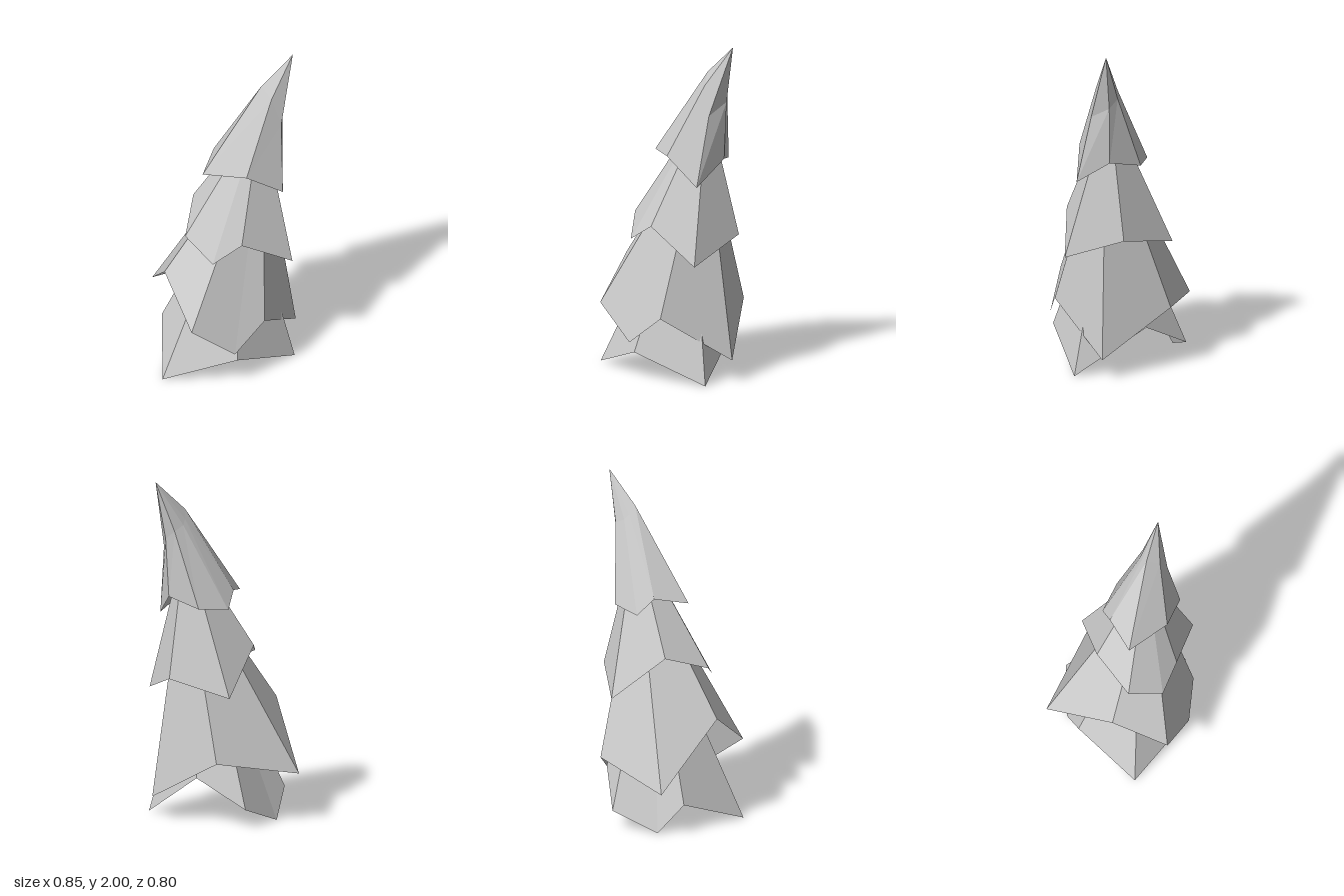
import * as THREE from 'three';

// Each tier: rings of seven corners listed from the right side round by the front, then a tip.
const TIERS = [
  {
    name: 'bottomBranches', tip: [0.1, 1.2, 0.03],
    rings: [[[-0.425, 0, 0.228], [-0.02, 0.165, 0.38], [0.37, 0, 0.2], [0.245, 0.275, -0.2],
      [0.025, 0.11, -0.4], [-0.22, 0, -0.285], [-0.32, 0.165, -0.17]]],
  },
  {
    name: 'lowerBranches', tip: [0.22, 1.5, 0.04],
    rings: [[[-0.368, 0.64, 0.063], [-0.292, 0.41, 0.375], [-0.04, 0.225, 0.4], [0.152, 0.39, 0.345],
      [0.423, 0.13, 0.03], [0.177, 0.38, -0.332], [-0.323, 0.285, -0.37]]],
  },
  {
    name: 'upperBranches', tip: [0.22, 1.64, 0.02],
    rings: [[[-0.259, 0.91, 0.116], [-0.14, 0.8, 0.28], [0.03, 0.91, 0.293], [0.34, 0.72, 0.26],
      [0.367, 0.85, -0.087], [0.095, 0.76, -0.33], [-0.143, 1.01, -0.132]]],
  },
  {
    name: 'leaningTop', tip: [0.411, 2, 0.01],
    rings: [
      [[-0.143, 1.295, 0.07], [0.08, 1.325, 0.212], [0.3, 1.175, 0.197], [0.332, 1.315, 0],
        [0.216, 1.265, -0.163], [0.036, 1.245, -0.175], [-0.03, 1.34, -0.1]],
      [[0.222, 1.82, 0.02], [0.262, 1.76, 0.087], [0.315, 1.59, 0.11], [0.352, 1.66, 0],
        [0.315, 1.71, -0.044], [0.257, 1.74, -0.035], [0.237, 1.77, -0.015]],
    ],
  },
];

// Skins the rings and closes them to the tip; the underside stays open.
function tierGeometry({ rings, tip }) {
  const n = rings[0].length;
  const last = rings[rings.length - 1];
  const pos = [];
  const tri = (a, b, c) => pos.push(...a, ...b, ...c);
  for (let i = 0; i < n; i++) {
    const j = (i + 1) % n;
    for (let r = 0; r < rings.length - 1; r++) {
      const lo = rings[r], hi = rings[r + 1];
      tri(lo[i], lo[j], hi[j]);
      tri(lo[i], hi[j], hi[i]);
    }
    tri(last[i], last[j], tip);
  }
  const geo = new THREE.BufferGeometry();
  geo.setAttribute('position', new THREE.Float32BufferAttribute(pos, 3));
  geo.computeVertexNormals();
  return geo;
}

export function createModel() {
  const tree = new THREE.Group();
  tree.name = 'pineTree';
  const material = new THREE.MeshStandardMaterial({
    color: 0xcccccc, flatShading: true, side: THREE.DoubleSide,
  });
  for (const tier of TIERS) {
    const mesh = new THREE.Mesh(tierGeometry(tier), material);
    mesh.name = tier.name;
    tree.add(mesh);
  }
  return tree;
}
